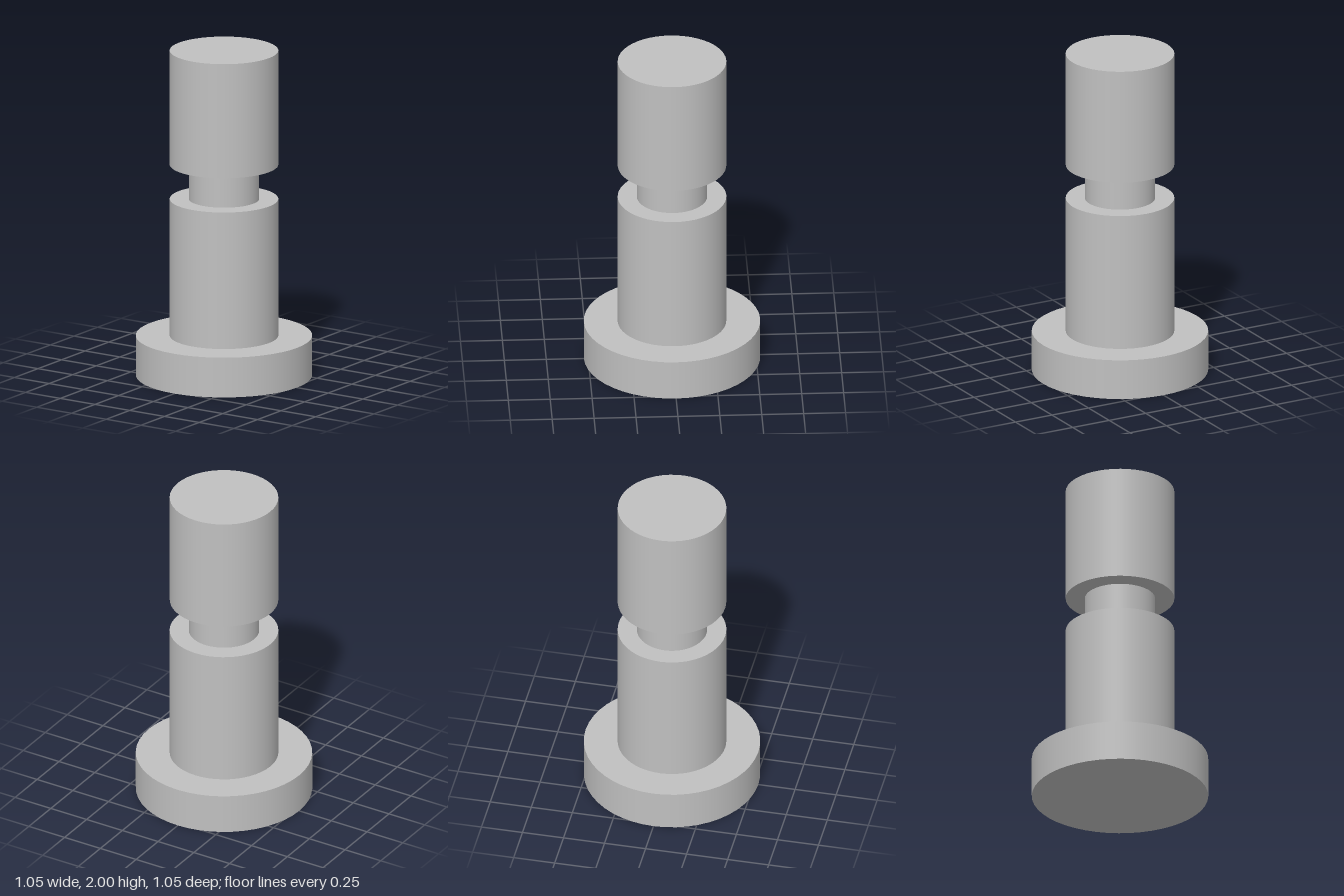
import * as THREE from 'three';

export function createModel() {
  const group = new THREE.Group();
  group.name = 'steppedPin';
  const steel = new THREE.MeshStandardMaterial({ color: 0xc0c0c0 });
  steel.name = 'plain grey';

  // One coaxial step of the turned pin, from height y0 to y1
  const addStep = (name, radius, y0, y1, open = false) => {
    const geometry = new THREE.CylinderGeometry(radius, radius, y1 - y0, 48, 1, open);
    const mesh = new THREE.Mesh(geometry, steel);
    mesh.name = name;
    mesh.position.y = (y0 + y1) / 2;
    group.add(mesh);
  };

  addStep('baseFlange', 0.526, 0, 0.245);
  addStep('lowerShaft', 0.324, 0.245, 1.086);
  addStep('grooveNeck', 0.21, 1.086, 1.297, true); // ends meet the shaft and head
  addStep('upperHead', 0.324, 1.297, 2);

  return group;
}
